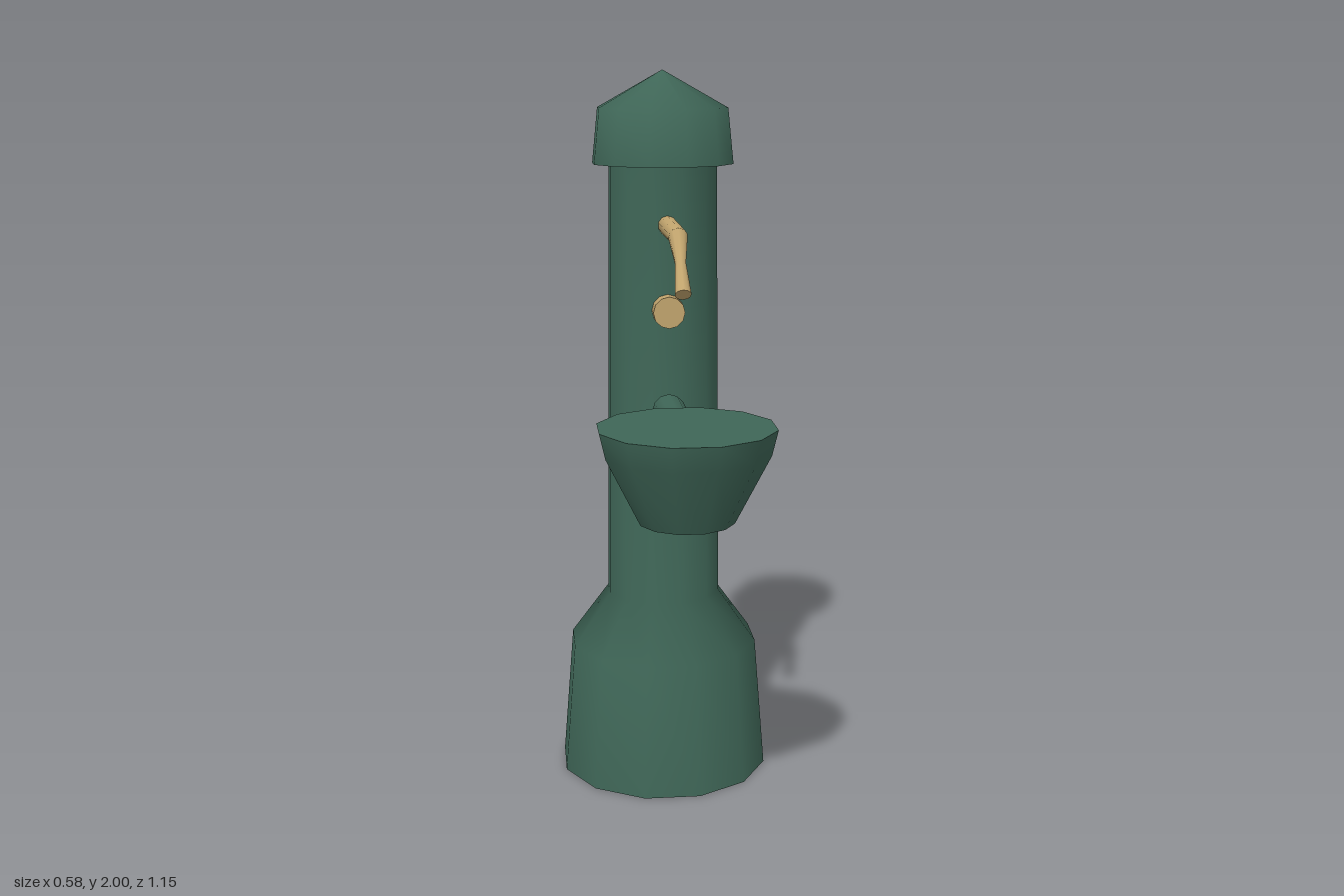
import * as THREE from 'three';
import { mergeGeometries } from 'three/addons/utils/BufferGeometryUtils.js';

const SIDES = 12;
const COLUMN_Z = -0.283;
const BOWL_Z = 0.355;

// Twelve-sided turned solid; each section is smooth in itself, with a sharp edge to the next.
// Profile widths are measured to the flats.
function turned(sections) {
  const k = 1 / Math.cos(Math.PI / SIDES);
  return mergeGeometries(sections.map((section) => {
    const points = section.map(([r, y]) => new THREE.Vector2(r * k, y));
    const g = new THREE.LatheGeometry(points, SIDES, Math.PI * 0.75);
    g.computeVertexNormals();
    return g;
  }));
}

// Rod along z between two depths
function rod(radius, y, z0, z1, sides) {
  return new THREE.CylinderGeometry(radius, radius, z1 - z0, sides)
    .rotateX(Math.PI / 2)
    .translate(0, y, (z0 + z1) / 2);
}

// Bent spout: every row of a cylinder is moved to its own centre, radius and downward tilt
function spoutGeometry() {
  const rings = [ // y, z, radius, tilt; tip first
    [1.466, 0.266, 0.021, 0.82],
    [1.535, 0.203, 0.014, 0.82],
    [1.595, 0.145, 0.025, 0.4],
    [1.595, -0.138, 0.026, 0],
  ];
  const rows = rings.length - 1;
  const g = new THREE.CylinderGeometry(1, 1, 1, 10, rows);
  const p = g.attributes.position;
  for (let i = 0; i < p.count; i++) {
    const [y, z, r, tilt] = rings[Math.round((0.5 - p.getY(i)) * rows)];
    const across = p.getZ(i) * r;
    p.setXYZ(i, p.getX(i) * r, y - Math.cos(tilt) * across, z - Math.sin(tilt) * across);
  }
  g.computeVertexNormals();
  return g;
}

export function createModel() {
  const model = new THREE.Group();
  const green = new THREE.MeshStandardMaterial({ color: 0x3f6657 });
  const brass = new THREE.MeshStandardMaterial({ color: 0xc2a56e });

  const add = (name, geometry, material, z = 0) => {
    const mesh = new THREE.Mesh(geometry, material);
    mesh.name = name;
    mesh.position.z = z;
    model.add(mesh);
  };

  // Flared base and tapering shaft
  add('column', turned([
    [[0, 0], [0.292, 0]],
    [[0.292, 0], [0.262, 0.38], [0.157, 0.53], [0.146, 1.75]],
  ]), green, COLUMN_Z);

  // Overhanging cap with a pointed top
  add('cap', turned([
    [[0.14, 1.75], [0.19, 1.75]],
    [[0.19, 1.75], [0.175, 1.9], [0, 2]],
  ]), green, COLUMN_Z);

  // Basin with a flat top, and the arm that carries it
  add('basin', turned([
    [[0, 0.915], [0.117, 0.915]],
    [[0.117, 0.915], [0.203, 1.09], [0.218, 1.155]],
    [[0.218, 1.155], [0, 1.155]],
  ]), green, BOWL_Z);
  add('basinArm', rod(0.045, 1.097, -0.098, 0.22, 12), green);

  // Brass fittings
  add('spout', spoutGeometry(), brass);
  add('pushButton', rod(0.043, 1.367, -0.14, -0.085, 12), brass);

  return model;
}
